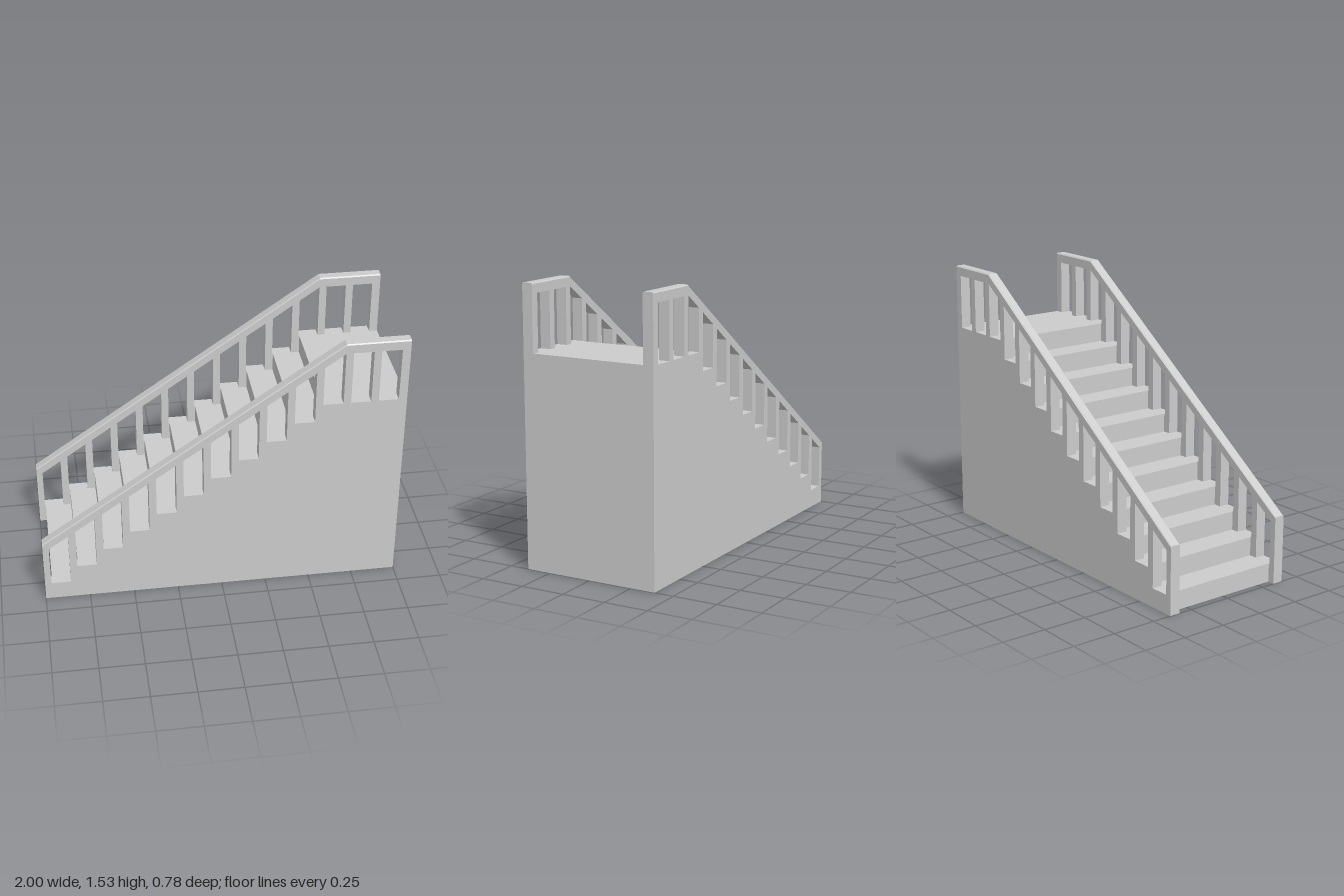
import * as THREE from 'three';

const STEPS = 11, RUN = 0.1508, RISE = 0.106, START = -0.96;
const INNER = 0.33, OUTER = 0.39, TOP = 1.53, BEND = 0.655, CHAMFER = 0.006;
const SLOPE = (TOP - 0.38) / (BEND + 1);
const railY = x => Math.min(TOP, 0.38 + SLOPE * (x + 1));

const material = new THREE.MeshStandardMaterial({ color: 0xcccccc, flatShading: true });

function polygon(points, Type = THREE.Shape) {
  return new Type(points.map(p => new THREE.Vector2(...p)));
}

function extrude(shape, z0, z1) {
  const geometry = new THREE.ExtrudeGeometry(shape, { depth: z1 - z0, bevelEnabled: false });
  return geometry.translate(0, 0, z0);
}

// Solid flight of steps ending in a landing
function stairGeometry() {
  const points = [[START, 0]];
  for (let i = 0; i < STEPS; i++) {
    const x = START + i * RUN, y = (i + 1) * RISE;
    points.push([x, y], [i === STEPS - 1 ? 1 : x + RUN, y]);
  }
  points.push([1, 0]);
  return extrude(polygon(points), -INNER, INNER);
}

// Side wall pierced by openings that leave the balusters and handrail
function wallGeometry() {
  const wall = polygon([
    [-1, 0], [1, 0], [1, TOP - CHAMFER], [BEND, TOP - CHAMFER], [-1, railY(-1) - CHAMFER],
  ]);
  for (let i = 0; i < STEPS + 2; i++) {
    const x0 = -0.965 + i * RUN, x1 = x0 + 0.11;
    const y0 = Math.min(i + 1, STEPS) * RISE;
    const head = x => Math.min(TOP - 0.05, railY(x) - 0.055);
    wall.holes.push(polygon([[x0, y0], [x0, head(x0)], [x1, head(x1)], [x1, y0]], THREE.Path));
  }
  return extrude(wall, INNER, OUTER);
}

// Chamfered top of the handrail, following its bend
function capGeometry() {
  const position = [], index = [];
  for (const x of [-1, BEND, 1]) {
    const y = railY(x);
    position.push(
      x, y - CHAMFER, OUTER, x, y, OUTER - CHAMFER,
      x, y, INNER + CHAMFER, x, y - CHAMFER, INNER,
    );
  }
  for (let s = 0; s < 2; s++) {
    for (let j = 0; j < 3; j++) {
      const a = s * 4 + j, b = a + 4;
      index.push(a, b, b + 1, a, b + 1, a + 1);
    }
  }
  index.push(0, 1, 2, 0, 2, 3, 8, 10, 9, 8, 11, 10);
  const geometry = new THREE.BufferGeometry();
  geometry.setAttribute('position', new THREE.Float32BufferAttribute(position, 3));
  geometry.setIndex(index);
  const flat = geometry.toNonIndexed();
  flat.computeVertexNormals();
  return flat;
}

export function createModel() {
  const model = new THREE.Group();
  model.name = 'staircase';
  const add = (parent, name, geometry) => {
    const mesh = new THREE.Mesh(geometry, material);
    mesh.name = name;
    parent.add(mesh);
  };

  add(model, 'steps', stairGeometry());

  // The two balustrades are the same part, turned to face outwards
  for (const [name, offset] of [['frontBalustrade', 0], ['backBalustrade', -INNER - OUTER]]) {
    const side = new THREE.Group();
    side.name = name;
    side.position.z = offset;
    add(side, 'balusterWall', wallGeometry());
    add(side, 'handrailCap', capGeometry());
    model.add(side);
  }
  return model;
}
